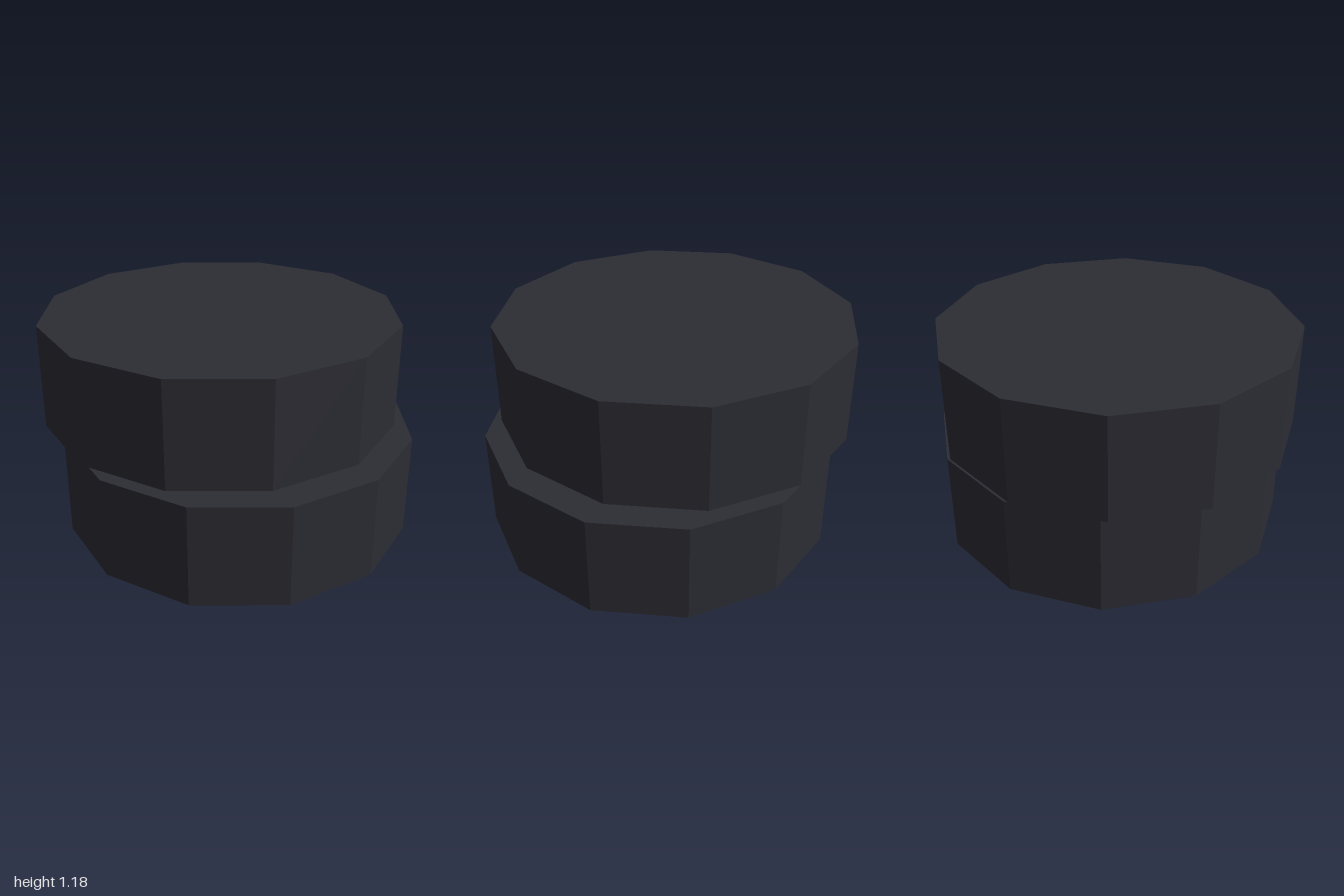
import * as THREE from 'three';

export function createModel() {
  const model = new THREE.Group();
  model.name = 'stackedDiscs';

  const charcoal = new THREE.MeshStandardMaterial({ color: 0x2c2c34 });
  charcoal.name = 'charcoal';
  charcoal.flatShading = true;

  const radius = 0.953;
  const height = 0.557;

  // Twelve-sided solid disc, placed by its base
  function addDisc(name, x, baseY, z) {
    const disc = new THREE.Mesh(new THREE.CylinderGeometry(radius, radius, height, 12), charcoal);
    disc.name = name;
    disc.position.set(x, baseY + height / 2, z);
    model.add(disc);
  }

  // Two equal discs, slightly offset, with a narrow gap between them
  addDisc('lowerDisc', 0.021, 0, 0.047);
  addDisc('upperDisc', -0.021, 0.622, -0.047);

  return model;
}
